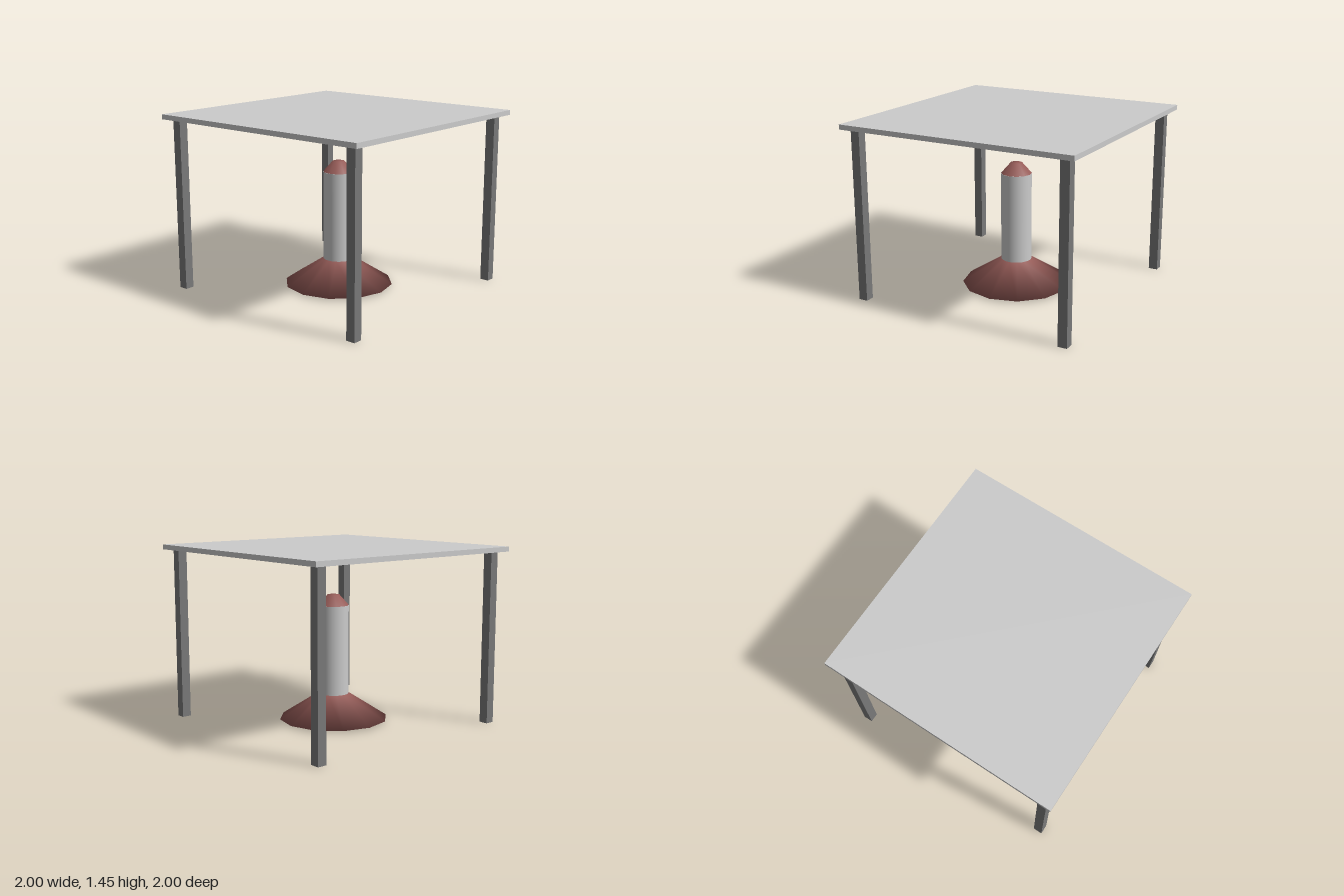
import * as THREE from 'three';

const grey = new THREE.MeshStandardMaterial({ color: 0xcccccc });
const darkGrey = new THREE.MeshStandardMaterial({ color: 0x797979 });
const brown = new THREE.MeshStandardMaterial({ color: 0x965c58 });

function addPart(parent, name, geometry, material, x = 0, y = 0, z = 0) {
  const mesh = new THREE.Mesh(geometry, material);
  mesh.name = name;
  mesh.position.set(x, y, z);
  parent.add(mesh);
  return mesh;
}

// Closed, smooth-shaded turned solid from [radius, height] pairs, bottom to top
function turned(points, sides) {
  return new THREE.LatheGeometry(points.map(([r, y]) => new THREE.Vector2(r, y)), sides);
}

export function createModel() {
  const model = new THREE.Group();
  model.name = 'canopyOverPost';

  // Square flat roof
  addPart(model, 'tabletop', new THREE.BoxGeometry(2, 0.04, 2), grey, 0, 1.434, 0);

  // Four square corner legs
  const legHeight = 1.414;
  const legGeometry = new THREE.BoxGeometry(0.076, legHeight, 0.076);
  for (const [xName, x] of [['Left', 0.9], ['Right', -0.9]]) {
    for (const [zName, z] of [['front', 0.9], ['back', -0.9]]) {
      addPart(model, `${zName}${xName}Leg`, legGeometry, darkGrey, x, legHeight / 2, z);
    }
  }

  // Central post: flared foot, round column, tapered cap
  const post = new THREE.Group();
  post.name = 'centralPost';
  model.add(post);
  addPart(post, 'flaredFoot', turned([[0, 0.015], [0.452, 0.015], [0.127, 0.226]], 12), brown);
  addPart(post, 'column', new THREE.CylinderGeometry(0.127, 0.127, 0.74, 32), grey, 0, 0.595, 0);
  addPart(post, 'taperedCap', turned([[0.127, 0.965], [0.05, 1.052], [0, 1.052]], 12), brown);

  return model;
}
